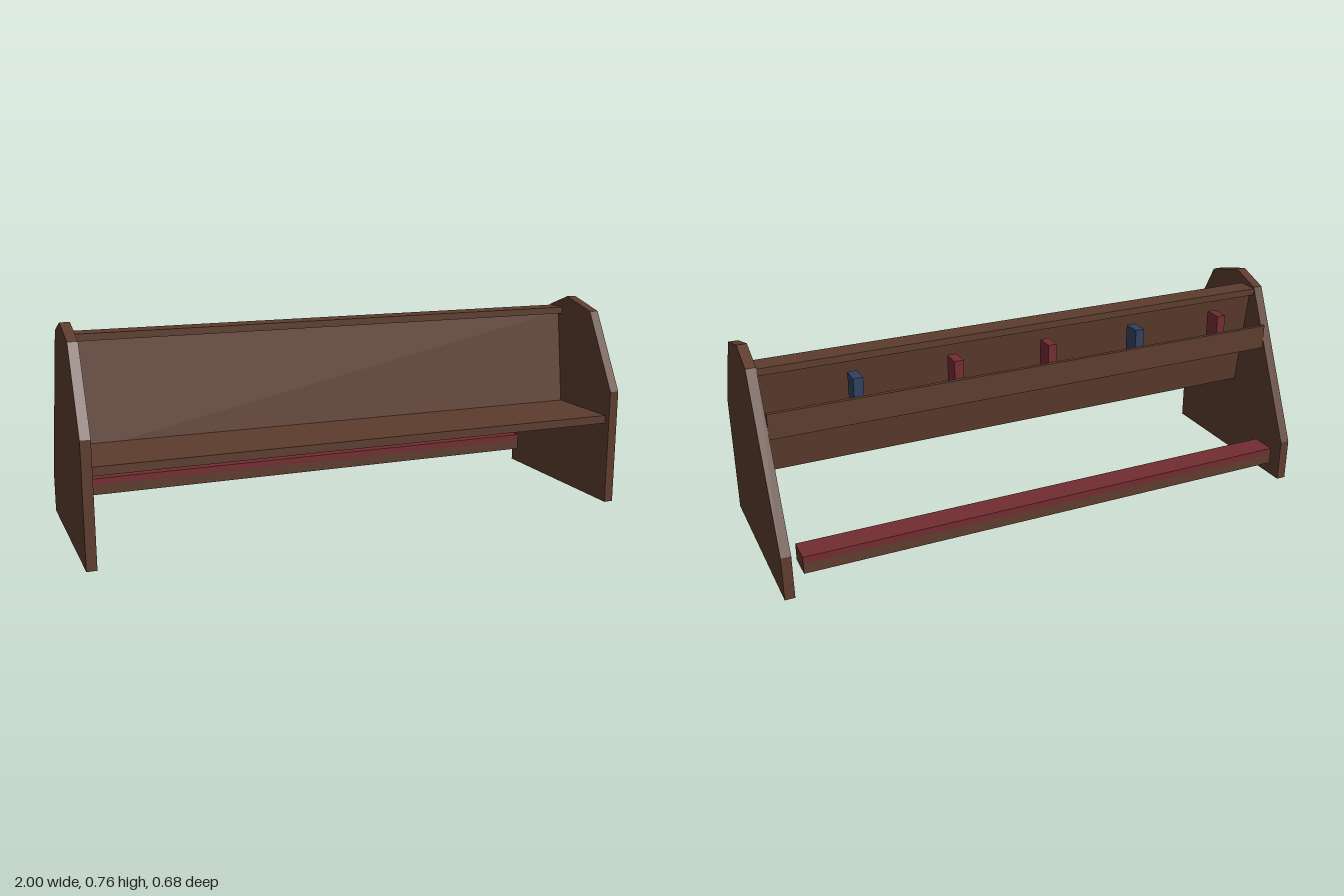
import * as THREE from 'three';

const wood = new THREE.MeshStandardMaterial({ color: 0x5c3c2d });
wood.name = 'dark wood';
const red = new THREE.MeshStandardMaterial({ color: 0x722c30 });
red.name = 'deep red';
const blue = new THREE.MeshStandardMaterial({ color: 0x31405f });
blue.name = 'navy blue';

// Extrudes a side outline of [z, y] points along x, centred on x
function sideProfile(name, points, width, x = 0) {
  const shape = new THREE.Shape(points.map(([z, y]) => new THREE.Vector2(z, y)));
  const geometry = new THREE.ExtrudeGeometry(shape, { depth: width, bevelEnabled: false });
  geometry.translate(0, 0, -width / 2).rotateY(-Math.PI / 2).translate(x, 0, 0);
  const mesh = new THREE.Mesh(geometry, wood);
  mesh.name = name;
  return mesh;
}

// Box given by its x centre and width and its y and z limits
function board(name, material, x, width, [y0, y1], [z0, z1]) {
  const mesh = new THREE.Mesh(new THREE.BoxGeometry(width, y1 - y0, z1 - z0), material);
  mesh.position.set(x, (y0 + y1) / 2, (z0 + z1) / 2);
  mesh.name = name;
  return mesh;
}

export function createModel() {
  const bench = new THREE.Group();
  bench.name = 'bench';
  const inner = 1.93;

  // End panels
  const outline = [
    [0.341, 0], [0.341, 0.43], [0.185, 0.715], [0.03, 0.757],
    [-0.085, 0.715], [-0.341, 0.158], [-0.341, 0],
  ];
  bench.add(sideProfile('leftEndPanel', outline, 0.035, 0.9825));
  bench.add(sideProfile('rightEndPanel', outline, 0.035, -0.9825));

  // Seat, leaning backrest and top rail
  bench.add(board('seat', wood, 0, inner, [0.305, 0.335], [0, 0.317]));
  bench.add(sideProfile('backrest',
    [[0.02, 0.306], [-0.03, 0.69], [-0.062, 0.69], [-0.012, 0.306]], inner));
  bench.add(board('topRail', wood, 0, inner, [0.685, 0.71], [-0.087, -0.004]));

  // Book rack behind the backrest
  const rack = new THREE.Group();
  rack.name = 'bookRack';
  rack.add(board('rackFloor', wood, 0, inner, [0.495, 0.51], [-0.158, -0.04]));
  rack.add(board('rackLip', wood, 0, inner, [0.495, 0.585], [-0.171, -0.157]));
  [red, blue, red, red, blue].forEach((cover, i) => {
    rack.add(board('book', cover, -0.77 + i * 0.356, 0.034, [0.51, 0.65], [-0.156, -0.09]));
  });
  bench.add(rack);

  // Kneeler with padded top
  const kneeler = new THREE.Group();
  kneeler.name = 'kneeler';
  kneeler.add(board('kneelerBoard', wood, 0, 1.854, [0.075, 0.112], [-0.33, -0.236]));
  kneeler.add(board('kneelerPad', red, 0, 1.854, [0.112, 0.137], [-0.33, -0.236]));
  bench.add(kneeler);

  return bench;
}
